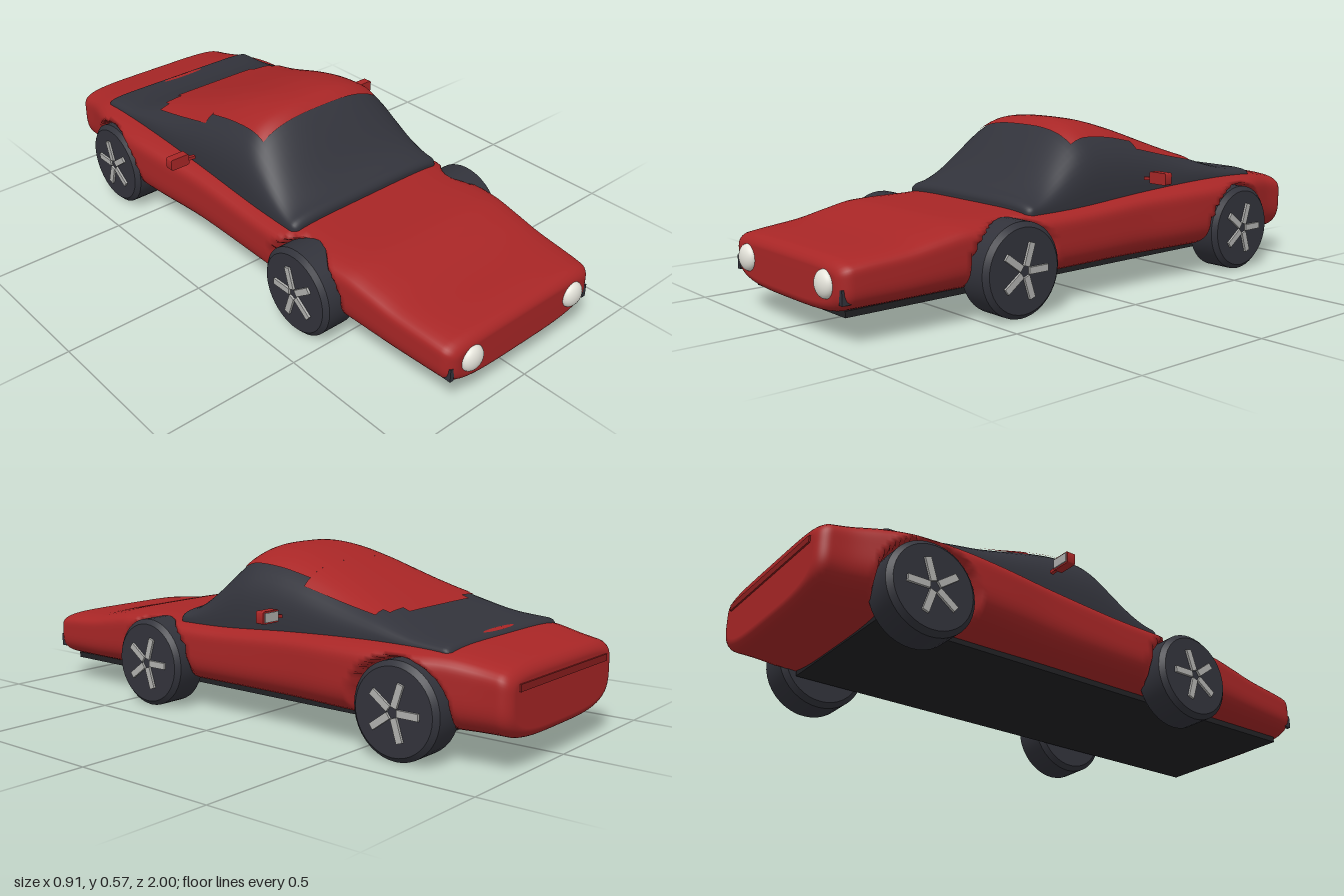
import * as THREE from 'three';
import { toCreasedNormals } from 'three/addons/utils/BufferGeometryUtils.js';

const { clamp, lerp, smoothstep } = THREE.MathUtils;

const mat = (name, color) => {
  const m = new THREE.MeshStandardMaterial({ color });
  m.name = name;
  return m;
};

// Smooth value of a [z, value] table (z descending), cubic between points
function sample(table, z) {
  const n = table.length;
  if (z >= table[0][0]) return table[0][1];
  if (z <= table[n - 1][0]) return table[n - 1][1];
  let i = 0;
  while (z < table[i + 1][0]) i++;
  const slope = (k) => {
    const a = table[Math.max(k - 1, 0)], b = table[Math.min(k + 1, n - 1)];
    return (b[1] - a[1]) / (b[0] - a[0]);
  };
  const [z0, v0] = table[i], [z1, v1] = table[i + 1];
  const h = z1 - z0, t = (z - z0) / h, t2 = t * t, t3 = t2 * t;
  return v0 * (2 * t3 - 3 * t2 + 1) + v1 * (3 * t2 - 2 * t3)
    + h * slope(i) * (t3 - 2 * t2 + t) + h * slope(i + 1) * (t3 - t2);
}

// Closed skin of rounded-square sections from front to back with rounded ends
function loft(front, back, rings, sides, round, section, bend) {
  const pos = [], index = [];
  for (let i = -1; i <= rings + 1; i++) {
    const t = clamp(i / rings, 0, 1);
    const z = (front + back) / 2 + ((front - back) / 2) * Math.cos(t * Math.PI);
    const s = section(z);
    const d = clamp(Math.min(front - z, z - back) / round, 0, 1);
    const inset = round * (1 - Math.sqrt(1 - (1 - d) ** 2));
    const cap = i < 0 || i > rings ? 0 : 1;
    for (let j = 0; j < sides; j++) {
      const a = (j / sides) * Math.PI * 2 - Math.PI / 2;
      const c = Math.cos(a), sn = Math.sin(a);
      const n = sn > 0 ? s.nTop : s.nBot;
      const r = cap / (Math.abs(c) ** n + Math.abs(sn) ** n) ** (1 / n);
      const h = sn > 0 ? s.top - s.mid : s.mid - s.bot;
      const p = [(s.w - inset) * c * r, s.mid + Math.max(h - inset * 0.8, 0.004) * sn * r, z];
      if (bend && cap) bend(p);
      pos.push(...p);
    }
  }
  for (let i = 0; i < rings + 2; i++) {
    for (let j = 0; j < sides; j++) {
      const k = (j + 1) % sides;
      const a = i * sides + j, b = i * sides + k, c = a + sides, d = b + sides;
      // the end fans collapse to a point, so each needs only one triangle
      if (i > 0) index.push(a, c, b);
      if (i < rings + 1) index.push(b, c, d);
    }
  }
  const g = new THREE.BufferGeometry();
  g.setAttribute('position', new THREE.Float32BufferAttribute(pos, 3));
  g.setIndex(index);
  g.computeVertexNormals();
  return g;
}

// Body profiles along z
const bodyWidth = [[0.975, 0.32], [0.9, 0.328], [0.6, 0.35], [0.3, 0.368], [0, 0.37], [-0.2, 0.375],
  [-0.4, 0.394], [-0.55, 0.402], [-0.7, 0.395], [-0.8, 0.365], [-0.9, 0.338], [-0.995, 0.33]];
const bodyTop = [[0.975, 0.252], [0.9, 0.262], [0.75, 0.278], [0.65, 0.298], [0.55, 0.315], [0.3, 0.315],
  [0.1, 0.318], [-0.2, 0.337], [-0.5, 0.346], [-0.7, 0.347], [-0.8, 0.345], [-0.9, 0.328], [-0.995, 0.31]];

// Cabin profiles along z
const CABIN_W = 0.325, CABIN_BASE = 0.3;
const cabinTop = [[0.3, 0.345], [0.25, 0.362], [0.2, 0.4], [0.1, 0.505], [0.05, 0.55], [0, 0.57], [-0.1, 0.562],
  [-0.2, 0.535], [-0.3, 0.5], [-0.5, 0.425], [-0.65, 0.374], [-0.8, 0.354]];
const cabinPower = [[0.3, 4], [0.15, 3], [-0.2, 3], [-0.5, 4], [-0.8, 9]];
const cabinY = (x, z) => {
  const n = sample(cabinPower, z);
  return CABIN_BASE + (sample(cabinTop, z) - CABIN_BASE) * (1 - Math.abs(x / CABIN_W) ** n) ** (1 / n);
};

const WHEEL_Z = [0.385, -0.66], WHEEL_Y = 0.155;

// Mirror housing: rounded outline with depth
function mirrorShell() {
  const w = 0.036, h = 0.02, r = 0.007, s = new THREE.Shape();
  s.moveTo(w, r - h).lineTo(w, h - r).quadraticCurveTo(w, h, w - r, h);
  s.lineTo(r - w, h).quadraticCurveTo(-w, h, -w, h - r);
  s.lineTo(-w, r - h).quadraticCurveTo(-w, -h, r - w, -h);
  s.lineTo(w - r, -h).quadraticCurveTo(w, -h, w, r - h);
  return new THREE.ExtrudeGeometry(s, { depth: 0.03, bevelEnabled: false, curveSegments: 5 }).translate(0, 0, -0.015);
}

export function createModel() {
  const car = new THREE.Group();
  car.name = 'sportsCar';
  const red = mat('red paint', 0xa82626);
  const dark = mat('dark glass and rubber', 0x32333b);
  const black = mat('black underside', 0x212124);
  const silver = mat('silver metal', 0xb0b0ae);
  const lamp = mat('lamp white', 0xe4e3da);
  const deepRed = mat('deep red', 0x8a1e1e);

  const add = (name, geo, material, x = 0, y = 0, z = 0, parent = car) => {
    const m = new THREE.Mesh(geo, material);
    m.name = name;
    m.position.set(x, y, z);
    parent.add(m);
    return m;
  };
  const box = (w, h, d) => new THREE.BoxGeometry(w, h, d);

  // Painted body, pressed inwards around each wheel
  add('body', loft(0.975, -0.995, 130, 80, 0.04, (z) => {
    const top = sample(bodyTop, z), bot = 0.085;
    return { w: sample(bodyWidth, z), top, bot, mid: bot + 0.62 * (top - bot), nTop: 5, nBot: 3.6 };
  }, (p) => {
    for (const wz of WHEEL_Z) {
      const k = smoothstep(Math.hypot(p[2] - wz, p[1] - WHEEL_Y), 0.14, 0.166);
      const inner = Math.min(Math.abs(p[0]), 0.29);
      p[0] = Math.sign(p[0]) * lerp(inner, Math.abs(p[0]), k);
    }
  }), red);
  add('floorPlate', box(0.52, 0.02, 1.69), black, 0, 0.089, 0.085);

  // Dark cabin with the painted roof laid over it in steps
  add('cabinGlass', loft(0.3, -0.8, 80, 80, 0.025, (z) => {
    const n = sample(cabinPower, z);
    return { w: CABIN_W, top: sample(cabinTop, z), bot: 0.27, mid: CABIN_BASE, nTop: n, nBot: 6 };
  }), dark);
  for (const [half, z0, z1] of [[0.25, 0.055, -0.225], [0.28, -0.225, -0.505], [0.24, -0.505, -0.53], [0.17, -0.53, -0.555]]) {
    const g = new THREE.PlaneGeometry(half * 2, z0 - z1, 32, Math.ceil((z0 - z1) / 0.015));
    g.rotateX(-Math.PI / 2).translate(0, 0, (z0 + z1) / 2);
    const p = g.attributes.position;
    for (let i = 0; i < p.count; i++) p.setY(i, cabinY(p.getX(i), p.getZ(i)) + 0.005);
    g.computeVertexNormals();
    add('roofPanel', g, red);
  }
  add('rearDeckPatch', new THREE.SphereGeometry(1, 24, 12).scale(0.11, 0.005, 0.015), red, 0, 0.355, -0.765);

  // Wheels with five spokes
  const tyre = toCreasedNormals(new THREE.LatheGeometry(
    [[0, -0.065], [0.136, -0.065], [0.152, -0.05], [0.152, 0.05], [0.136, 0.065], [0, 0.065]]
      .map(([r, y]) => new THREE.Vector2(r, y)), 40).rotateZ(-Math.PI / 2), 0.5);
  for (const wz of WHEEL_Z) {
    for (const side of [1, -1]) {
      const wheel = new THREE.Group();
      wheel.name = wz > 0 ? 'frontWheel' : 'rearWheel';
      wheel.position.set(side * 0.335, WHEEL_Y, wz);
      car.add(wheel);
      add('tyre', tyre, dark, 0, 0, 0, wheel);
      for (let k = 0; k < 5; k++) {
        const spoke = box(0.014, 0.022, 0.075).translate(0, 0, -0.054).rotateX((k * Math.PI * 2) / 5);
        add('spoke', spoke, silver, side * 0.066, 0, 0, wheel);
      }
    }
  }

  // Paired details
  for (const side of [1, -1]) {
    add('headlight', new THREE.SphereGeometry(1, 32, 20).scale(0.043, 0.043, 0.026), lamp, side * 0.228, 0.18, 0.974);
    add('frontSlot', box(0.015, 0.045, 0.03), dark, side * 0.303, 0.152, 0.955);
    add('mirrorHousing', toCreasedNormals(mirrorShell(), 0.6), red, side * 0.421, 0.386, -0.195);
    add('mirrorGlass', box(0.06, 0.03, 0.004), silver, side * 0.421, 0.386, -0.212);
    add('mirrorArm', box(0.036, 0.011, 0.012), red, side * 0.372, 0.38, -0.193).rotation.z = side * 0.08;
  }

  // Strip across the tail
  add('tailStrip', box(0.54, 0.022, 0.012), deepRed, 0, 0.255, -0.994);
  return car;
}
